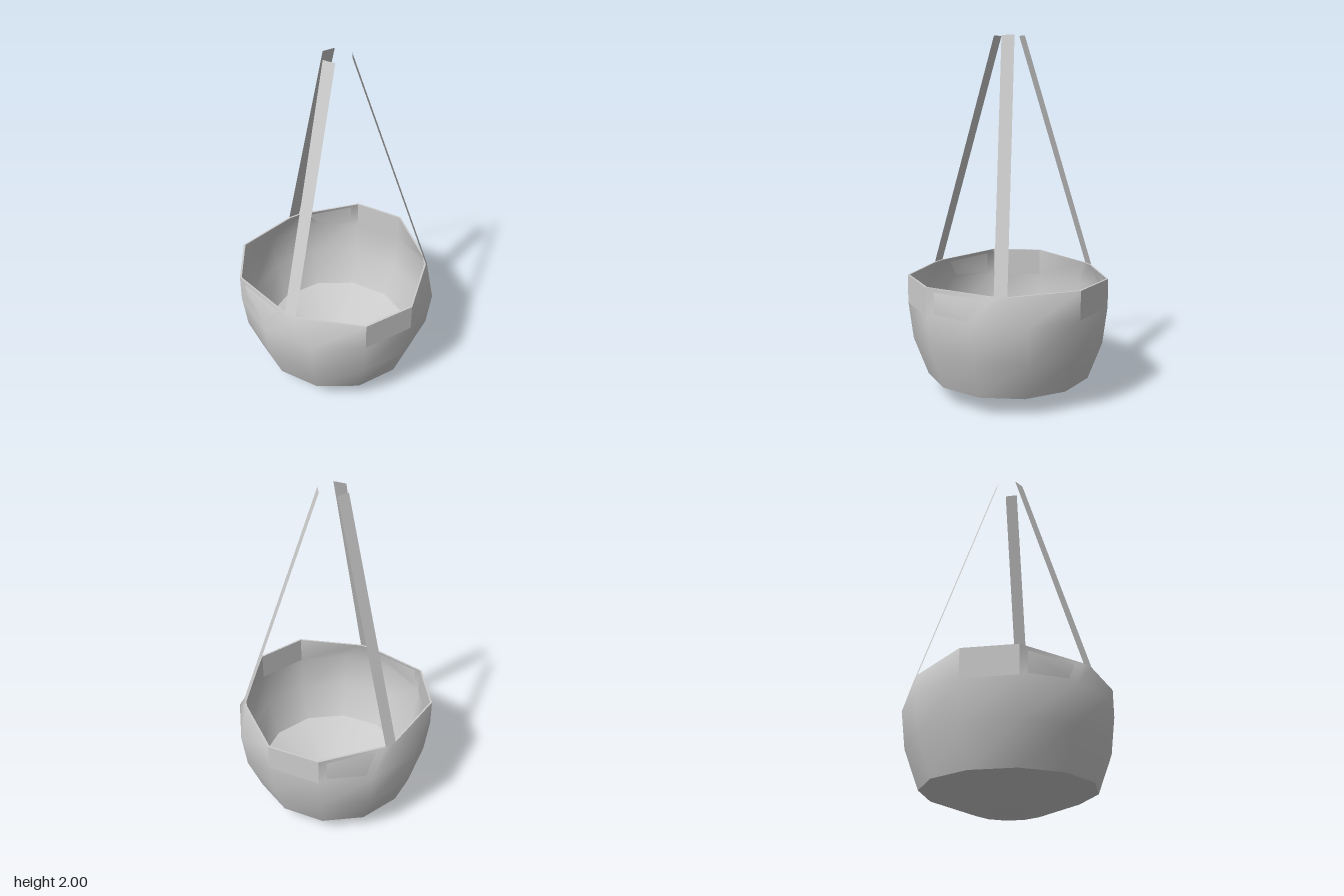
import * as THREE from 'three';

const SIDES = 12, STRAP_R = 0.522, STRAP_W = 0.07, WALL = 0.011, RIM_Y = 0.69, STRAP_Y = 0.677;

// Point in the strap's own frame: radial distance, sideways offset, height
function strapPoint(a, r, side, y) {
  return new THREE.Vector3(
    Math.cos(a) * r + Math.sin(a) * side, y, Math.sin(a) * r - Math.cos(a) * side);
}

// Plain twelve-sided ring
function ring(r, y) {
  return Array.from({ length: SIDES }, (_, i) => {
    const a = i * Math.PI / 6;
    return new THREE.Vector3(Math.cos(a) * r, y, Math.sin(a) * r);
  });
}

// Rim ring: two of every four corners are pulled in to meet a strap
function rimRing(inset) {
  return ring(0.576 - inset, RIM_Y).map((p, i) => {
    const k = i % 4;
    if (k === 1 || k === 2) return p;
    const a = (i * 30 + (k === 3 ? 15 : -15)) * Math.PI / 180;
    return strapPoint(a, STRAP_R - inset, (k === 3 ? 0.5 : -0.5) * STRAP_W, STRAP_Y);
  });
}

// Skin a list of rings; keep(segment, band) chooses which quads to build
function skin(rings, keep = () => true) {
  const index = [];
  for (let b = 0; b < rings.length - 1; b++) {
    for (let i = 0; i < SIDES; i++) {
      if (!keep(i, b)) continue;
      const j = (i + 1) % SIDES, lo = b * SIDES, hi = lo + SIDES;
      index.push(lo + i, hi + i, lo + j, hi + i, hi + j, lo + j);
    }
  }
  const geo = new THREE.BufferGeometry().setFromPoints(rings.flat());
  geo.setIndex(index);
  geo.computeVertexNormals();
  return geo;
}

function flat(geo) {
  const g = geo.toNonIndexed();
  g.computeVertexNormals();
  return g;
}

export function createModel() {
  const model = new THREE.Group();
  model.name = 'hangingPlanter';
  const grey = new THREE.MeshStandardMaterial({ color: 0xcccccc, side: THREE.DoubleSide });
  grey.name = 'lightGrey';
  const add = (name, geo, parent = model) => {
    const mesh = new THREE.Mesh(geo, grey);
    mesh.name = name;
    parent.add(mesh);
  };

  const bowl = new THREE.Group();
  bowl.name = 'bowl';
  model.add(bowl);

  const outer = [ring(0.47, 0.105), ring(0.55, 0.32), ring(0.576, 0.53), rimRing(0)];
  const inner = [rimRing(WALL), ring(0.576 - WALL, 0.53), ring(0.55 - WALL, 0.32), ring(0.458, 0.11)];
  const isPanel = i => i % 4 === 1;

  // Shallow base outside, matching floor inside
  add('base', skin([ring(0, 0), ring(0.19, 0), outer[0]]), bowl);
  add('floor', skin([inner[3], ring(0.185, 0.012), ring(0, 0.012)]), bowl);

  // Smooth walls, with three flat upright panels between the straps
  add('outerWall', skin(outer, (i, b) => b < 2 || !isPanel(i)), bowl);
  add('innerWall', skin(inner, (i, b) => b > 0 || !isPanel(i)), bowl);
  add('outerPanels', flat(skin(outer.slice(2), isPanel)), bowl);
  add('innerPanels', flat(skin(inner.slice(0, 2), isPanel)), bowl);
  add('rim', flat(skin([outer[3], inner[0]])), bowl);

  // Three paper-thin straps leaning inward to the top
  for (let n = 0; n < 3; n++) {
    const a = (-15 + 120 * n) * Math.PI / 180;
    const geo = new THREE.PlaneGeometry(STRAP_W, 1);
    const pos = geo.attributes.position;
    for (let i = 0; i < pos.count; i++) {
      const up = pos.getY(i) + 0.5;
      const p = strapPoint(a, THREE.MathUtils.lerp(STRAP_R, 0.077, up), pos.getX(i),
        THREE.MathUtils.lerp(STRAP_Y, 2, up));
      pos.setXYZ(i, p.x, p.y, p.z);
    }
    geo.computeVertexNormals();
    add('strap' + (n + 1), geo);
  }
  return model;
}
